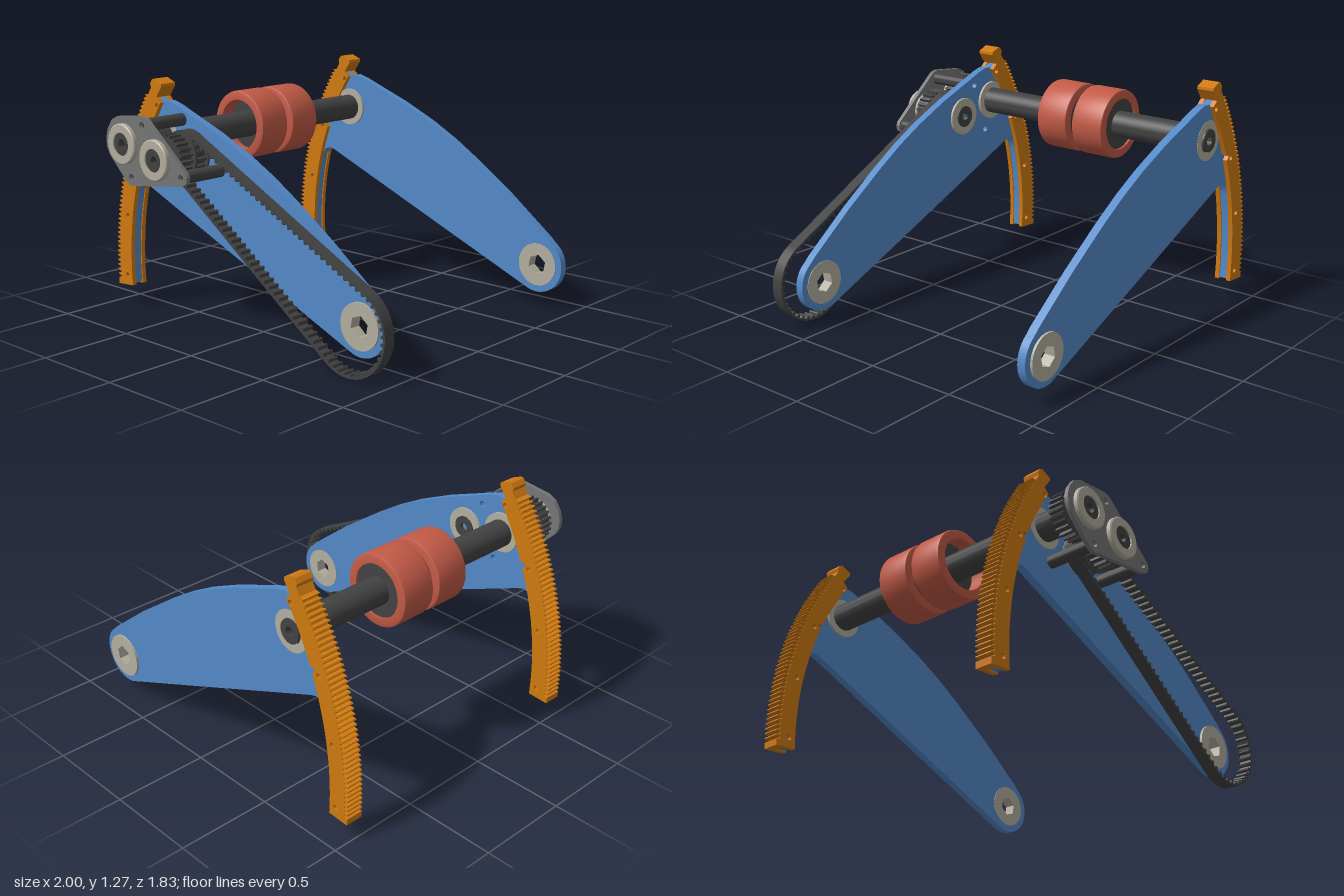
import * as THREE from 'three';
import { toCreasedNormals } from 'three/addons/utils/BufferGeometryUtils.js';

const mat = (name, color) => {
  const m = new THREE.MeshStandardMaterial({ color });
  m.name = name;
  return m;
};
const RAD = Math.PI / 180;
// Main axes: A = roller shaft, B = counter shaft, C = pivot
const A = [-0.603, 0.965], B = [-0.355, 0.912], C = [0.77, 0.23];
const polar = (r, deg) => new THREE.Vector2(C[0] - r * Math.cos(deg * RAD), C[1] + r * Math.sin(deg * RAD));
const vec = ([x, y]) => new THREE.Vector2(x, y);

function circle(x, y, r) {
  return new THREE.Path().absarc(x, y, r, 0, Math.PI * 2, false);
}

function hexagon(x, y, r) {
  const pts = [];
  for (let i = 0; i < 6; i++) {
    const a = (i * 60 + 20) * RAD;
    pts.push(new THREE.Vector2(x + r * Math.cos(a), y + r * Math.sin(a)));
  }
  return new THREE.Path(pts);
}

// Arc of points around the pivot; radius may vary with angle
function arcPoints(radius, from, to, n) {
  return Array.from({ length: n + 1 }, (_, i) => {
    const a = from + (to - from) * i / n;
    return polar(typeof radius === 'function' ? radius(a) : radius, a);
  });
}

function slab(name, shape, z0, z1, material, holes = []) {
  shape.holes.push(...holes);
  const geo = new THREE.ExtrudeGeometry(shape, { depth: z1 - z0, bevelEnabled: false, curveSegments: 20 });
  geo.translate(0, 0, z0);
  const mesh = new THREE.Mesh(toCreasedNormals(geo, 0.5), material);
  mesh.name = name;
  return mesh;
}

// Turned part along z; profile of [radius, z] points forming a closed loop
function turned(name, [x, y], profile, material) {
  const pts = [...profile, profile[0]].map(vec);
  const geo = new THREE.LatheGeometry(pts, 48);
  geo.rotateX(Math.PI / 2);
  const mesh = new THREE.Mesh(toCreasedNormals(geo, 0.5), material);
  mesh.position.set(x, y, 0);
  mesh.name = name;
  return mesh;
}
const tube = (name, at, rIn, rOut, z0, z1, material) =>
  turned(name, at, [[rIn, z0], [rOut, z0], [rOut, z1], [rIn, z1]], material);

function gear(name, [x, y], r, teeth, z0, z1, bore, material) {
  const pts = [];
  for (let i = 0; i < teeth; i++) {
    for (const [f, k] of [[0, 0.87], [0.4, 0.87], [0.55, 1], [0.85, 1]]) {
      const a = (i + f) / teeth * Math.PI * 2;
      pts.push(new THREE.Vector2(x + r * k * Math.cos(a), y + r * k * Math.sin(a)));
    }
  }
  return slab(name, new THREE.Shape(pts), z0, z1, material, [circle(x, y, bore)]);
}

// Loop around axes B and C, as points with their outward normals
function beltLoop(r, R) {
  const dx = C[0] - B[0], dy = C[1] - B[1], d = Math.hypot(dx, dy);
  const phi = Math.atan2(dy, dx), t = Math.PI / 2 + Math.asin((R - r) / d);
  const run = Math.sqrt(d * d - (R - r) ** 2), arcC = 2 * t * R, arcB = (2 * Math.PI - 2 * t) * r;
  const length = 2 * run + arcC + arcB;
  const on = (c, rad, a) => vec(c).add(new THREE.Vector2(Math.cos(a), Math.sin(a)).multiplyScalar(rad));
  const at = (s, inset) => {
    if (s < run) return on(B, r - inset, phi - t).lerp(on(C, R - inset, phi - t), s / run);
    s -= run;
    if (s < arcC) return on(C, R - inset, phi - t + s / R);
    s -= arcC;
    if (s < run) return on(C, R - inset, phi + t).lerp(on(B, r - inset, phi + t), s / run);
    return on(B, r - inset, phi + t + (s - run) / r);
  };
  return { length, at };
}

export function createModel() {
  const blue = mat('plate blue', 0x538ac9), orange = mat('rack orange', 0xd07a10);
  const dark = mat('dark metal', 0x424242), grey = mat('bracket grey', 0x767676);
  const tan = mat('bearing tan', 0xb3ae9f), red = mat('roller red', 0xc25a46);
  const model = new THREE.Group();

  const rackHoles = () => [[1.69, 20.8], [1.69, 9.2], [1.69, -2.4], [1.665, 32.8]]
    .map(([r, a]) => { const p = polar(r, a); return circle(p.x, p.y, 0.014); });
  const standoffs = [[-0.46, 1.075], [-0.555, 0.797], [-0.175, 0.845]];

  // Arm plate with its curved strip and the toothed rack, centred on zc
  function arm(name, zc, front) {
    const g = new THREE.Group();
    g.name = name;
    const s = new THREE.Shape();
    s.setFromPoints([
      ...arcPoints(1.72, -4, 33.5, 30),
      ...[[-0.605, 1.155], [-0.56, 1.16], [-0.5, 1.143], [-0.4, 1.105], [-0.2, 1.03], [0.01, 0.936],
        [0.17, 0.85], [0.33, 0.75], [0.57, 0.585], [0.83, 0.385]].map(vec)]);
    s.absarc(C[0], C[1], 0.155, 55 * RAD, -112 * RAD, true);
    for (const [x, y] of [[0, 0.38], [-0.73, 0.682], [-0.77, 0.693], [-0.805, 0.683]]) s.lineTo(x, y);
    for (const p of arcPoints(1.656, 14.5, -4, 16)) s.lineTo(p.x, p.y);
    const holes = [...rackHoles(), circle(...A, 0.07), circle(...C, 0.07)];
    if (front) holes.push(...standoffs.slice(0, 2).map(p => circle(...p, 0.018)));
    g.add(slab('armPlate', s, zc - 0.0225, zc + 0.0225, blue, holes));

    // Two cheeks hold the strip; the toothed rim closes the outside
    const inner = a => (a > 21.4 && a < 22.3 ? 1.674 : 1.65);
    for (const side of [-1, 1]) {
      const cheek = new THREE.Shape([...arcPoints(1.722, -4.3, 34.2, 60), ...arcPoints(inner, 33.8, -4.3, 90)]);
      const z = zc + side * 0.0355;
      g.add(slab('rackCheek', cheek, z - 0.0125, z + 0.0125, orange, rackHoles()));
    }
    const rim = [], teeth = 42, a0 = -3.2, step = 36 / teeth;
    rim.push(polar(1.768, -4.3));
    for (let i = 0; i < teeth; i++) {
      for (const [f, r] of [[0, 1.768], [0.2, 1.746], [0.5, 1.746], [0.75, 1.77]]) rim.push(polar(r, a0 + (i + f) * step));
    }
    rim.push(polar(1.75, 33.2), polar(1.752, 34.6), polar(1.768, 35), polar(1.768, 35.9), polar(1.76, 36.3),
      polar(1.7, 36.8), polar(1.69, 36.4), polar(1.69, 34), ...arcPoints(1.72, 33.6, -4.3, 40));
    g.add(slab('toothedRim', new THREE.Shape(rim), zc - 0.048, zc + 0.048, orange));

    // Pivot bearing with hexagonal bore, and inner shaft bearing
    const out = front ? 1 : -1;
    const z = [zc - out * 0.026, zc + out * 0.035].sort((a, b) => a - b);
    const disc = new THREE.Shape().absarc(...C, 0.118, 0, Math.PI * 2, false);
    g.add(slab('pivotBearing', disc, ...z, tan, [hexagon(...C, 0.056)]));
    const zi = [zc - out * 0.036, zc + out * 0.024].sort((a, b) => a - b);
    g.add(tube('shaftBearing', A, 0.065, 0.108, ...zi, tan));
    model.add(g);
  }
  arm('frontArm', 0.5975, true);
  arm('backArm', -0.8725, false);

  // Hollow roller shaft
  const bore = 0.026;
  model.add(turned('rollerShaft', A, [[bore, -0.905], [0.062, -0.905], [0.062, -0.88], [0.0725, -0.88],
    [0.0725, 0.86], [0.062, 0.86], [0.062, 0.905], [bore, 0.905]], dark));

  // Two rollers with rounded rims and recessed hubs
  for (const [z0, z1] of [[-0.113, 0.082], [-0.35, -0.153]]) {
    model.add(turned('roller', A, [[0.14, z0], [0.178, z0], [0.187, z0 + 0.004], [0.19, z0 + 0.014],
      [0.19, z1 - 0.014], [0.187, z1 - 0.004], [0.178, z1], [0.14, z1]], red));
    model.add(tube('rollerHub', A, 0.07, 0.142, z0 + 0.012, z1 - 0.08, dark));
  }

  // Counter shaft, gears and belt pulley
  model.add(tube('counterShaft', B, 0.022, 0.06, 0.62, 0.905, dark));
  model.add(gear('shaftGear', A, 0.126, 24, 0.75, 0.825, 0.06, dark));
  model.add(gear('counterGear', B, 0.122, 22, 0.75, 0.825, 0.05, dark));
  model.add(gear('beltPulley', B, 0.112, 18, 0.65, 0.72, 0.05, dark));
  for (const z of [0.638, 0.722]) model.add(tube('pulleyFlange', B, 0.05, 0.122, z, z + 0.01, dark));
  model.add(tube('counterBearing', B, 0.06, 0.105, 0.562, 0.632, tan));
  model.add(tube('counterBearingCore', B, 0.022, 0.06, 0.556, 0.6, dark));

  // Toothed belt
  const loop = beltLoop(0.13, 0.23), outer = [], inside = [], n = 94;
  for (let i = 0; i < n; i++) {
    for (const [f, inset] of [[0, 0.011], [0.45, 0.011], [0.55, 0.023], [0.75, 0.027], [0.92, 0.022]]) {
      const s = (i + f) / n * loop.length;
      outer.push(loop.at(s, 0));
      inside.push(loop.at(s, inset));
    }
  }
  model.add(slab('belt', new THREE.Shape(outer), 0.652, 0.718, dark, [new THREE.Path(inside)]));

  // Gearbox bracket, its bearings and hollow standoffs
  const bracket = new THREE.Shape([[-0.445, 1.12], [-0.425, 1.112], [-0.375, 1.07], [-0.138, 0.873], [-0.128, 0.85],
    [-0.133, 0.82], [-0.165, 0.803], [-0.55, 0.753], [-0.575, 0.758], [-0.6, 0.775], [-0.725, 0.895], [-0.745, 0.935],
    [-0.75, 0.98], [-0.735, 1.03], [-0.7, 1.08], [-0.655, 1.102], [-0.6, 1.108], [-0.47, 1.123]].map(vec));
  model.add(slab('gearboxBracket', bracket, 0.865, 0.888, grey,
    [...standoffs.map(p => circle(...p, 0.018)), circle(...A, 0.07), circle(...B, 0.07)]));
  for (const p of [A, B]) {
    model.add(turned('bracketBearing', p, [[0.06, 0.85], [0.09, 0.85], [0.09, 0.888], [0.106, 0.888],
      [0.106, 0.908], [0.1, 0.913], [0.06, 0.913]], tan));
  }
  for (const p of standoffs) model.add(tube('standoff', p, 0.018, 0.033, 0.62, 0.866, dark));
  return model;
}
